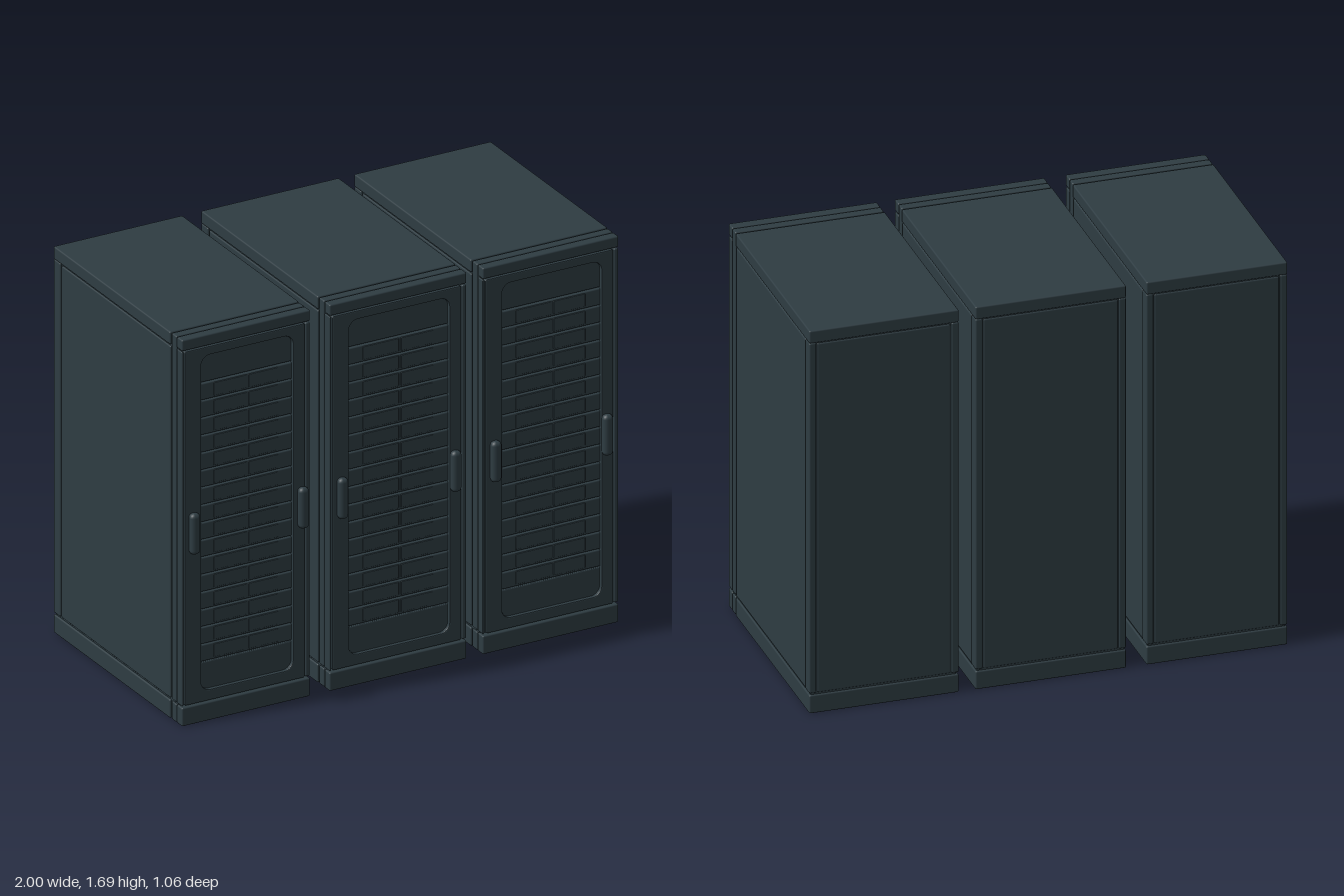
import * as THREE from 'three';
import { RoundedBoxGeometry } from 'three/addons/geometries/RoundedBoxGeometry.js';

const cabinetMat = new THREE.MeshStandardMaterial({ color: 0x2e3c42 });
cabinetMat.name = 'dark slate';

// Softened box given by its min and max corners
function block(parent, name, [x0, y0, z0], [x1, y1, z1], radius = 0.006) {
  const w = x1 - x0, h = y1 - y0, d = z1 - z0;
  const r = Math.min(radius, w * 0.45, h * 0.45, d * 0.45);
  const mesh = new THREE.Mesh(new RoundedBoxGeometry(w, h, d, 2, r), cabinetMat);
  mesh.position.set((x0 + x1) / 2, (y0 + y1) / 2, (z0 + z1) / 2);
  mesh.name = name;
  parent.add(mesh);
}

// Traces a rounded rectangle onto a Shape or Path
function roundRect(path, x0, y0, x1, y1, r) {
  path.moveTo(x0 + r, y0);
  path.lineTo(x1 - r, y0);
  path.absarc(x1 - r, y0 + r, r, -Math.PI / 2, 0);
  path.lineTo(x1, y1 - r);
  path.absarc(x1 - r, y1 - r, r, 0, Math.PI / 2);
  path.lineTo(x0 + r, y1);
  path.absarc(x0 + r, y1 - r, r, Math.PI / 2, Math.PI);
  path.lineTo(x0, y0 + r);
  path.absarc(x0 + r, y0 + r, r, Math.PI, Math.PI * 1.5);
  return path;
}

const TOP = 1.69, BACK = -0.53, FRONT = 0.5;

function makeCabinet(name, x0, x1, handleXs) {
  const g = new THREE.Group();
  g.name = name;

  // Inner core, visible only as the floor of the seams
  block(g, 'core', [x0 + 0.008, 0.008, BACK + 0.008], [x1 - 0.008, TOP - 0.008, 0.462], 0.003);

  // Main body: plinth, roof, side and back panels, rear posts
  block(g, 'plinth', [x0, 0, BACK], [x1, 0.08, 0.405]);
  block(g, 'roof', [x0, 1.635, BACK], [x1, TOP, 0.405]);
  block(g, 'rightSidePanel', [x0 + 0.002, 0.088, -0.47], [x0 + 0.03, 1.628, 0.405]);
  block(g, 'leftSidePanel', [x1 - 0.03, 0.088, -0.47], [x1 - 0.002, 1.628, 0.405]);
  block(g, 'rightRearPost', [x0, 0.088, BACK], [x0 + 0.03, 1.635, -0.476]);
  block(g, 'leftRearPost', [x1 - 0.03, 0.088, BACK], [x1, 1.635, -0.476]);
  block(g, 'backPanel', [x0 + 0.034, 0.088, BACK + 0.003], [x1 - 0.034, 1.63, -0.48]);

  // Front surround behind the door
  block(g, 'frontCollar', [x0 + 0.002, 0.088, 0.413], [x1 - 0.002, TOP, 0.452]);
  block(g, 'frontCollarBase', [x0 + 0.002, 0, 0.413], [x1 - 0.002, 0.08, 0.452]);
  block(g, 'frontHeader', [x0 + 0.002, 1.642, 0.456], [x1 - 0.002, TOP, FRONT]);
  block(g, 'frontPlinth', [x0 + 0.002, 0, 0.456], [x1 - 0.002, 0.08, FRONT]);
  block(g, 'rightStile', [x0 + 0.002, 0.088, 0.456], [x0 + 0.011, 1.637, FRONT - 0.002]);
  block(g, 'leftStile', [x1 - 0.022, 0.088, 0.456], [x1 - 0.002, 1.637, FRONT - 0.002]);

  // Door frame with a rounded opening
  const bevel = 0.004;
  const left = x0 + 0.09, right = x1 - 0.08;
  const shape = roundRect(new THREE.Shape(), x0 + 0.014 + bevel, 0.088 + bevel,
    x1 - 0.026 - bevel, 1.637 - bevel, 0.004);
  shape.holes.push(roundRect(new THREE.Path(), left - bevel, 0.135 - bevel, right + bevel, 1.6 + bevel, 0.045));
  const door = new THREE.Mesh(new THREE.ExtrudeGeometry(shape, {
    depth: 0.036, bevelEnabled: true, bevelSize: bevel, bevelThickness: bevel, bevelSegments: 2, curveSegments: 8,
  }), cabinetMat);
  door.position.z = 0.456 + bevel;
  door.name = 'doorFrame';
  g.add(door);

  // Rack units inside the opening, with blank plates above and below
  const floor = 0.455, face = 0.486;
  const bottom = 0.255, rows = 16, pitch = (1.475 - bottom) / rows;
  block(g, 'upperBlank', [left - 0.004, 1.478, floor], [right + 0.004, 1.604, face - 0.002], 0.004);
  block(g, 'lowerBlank', [left - 0.004, 0.131, floor], [right + 0.004, bottom - 0.003, face - 0.002], 0.004);
  const span = right - left;
  for (let i = 0; i < rows; i++) {
    const y = bottom + i * pitch;
    block(g, 'rackUnit', [left - 0.004, y + 0.002, floor], [right + 0.004, y + pitch - 0.002, face], 0.005);
    for (const [a, b] of [[0.15, 0.51], [0.53, 0.85]]) {
      block(g, 'driveCover', [left + a * span, y + 0.012, face - 0.004],
        [left + b * span, y + pitch - 0.007, face + 0.004], 0.003);
    }
  }

  // Pull handles
  for (const x of handleXs) {
    block(g, 'handle', [x - 0.022, 0.75, FRONT - 0.01], [x + 0.022, 0.928, 0.53], 0.018);
  }
  return g;
}

export function createModel() {
  const model = new THREE.Group();
  model.name = 'serverCabinets';
  model.add(
    makeCabinet('rightCabinet', -1, -0.41, [-0.947, -0.45]),
    makeCabinet('middleCabinet', -0.325, 0.305, [-0.27, 0.247]),
    makeCabinet('leftCabinet', 0.375, 1, [0.43, 0.94]),
  );
  return model;
}
